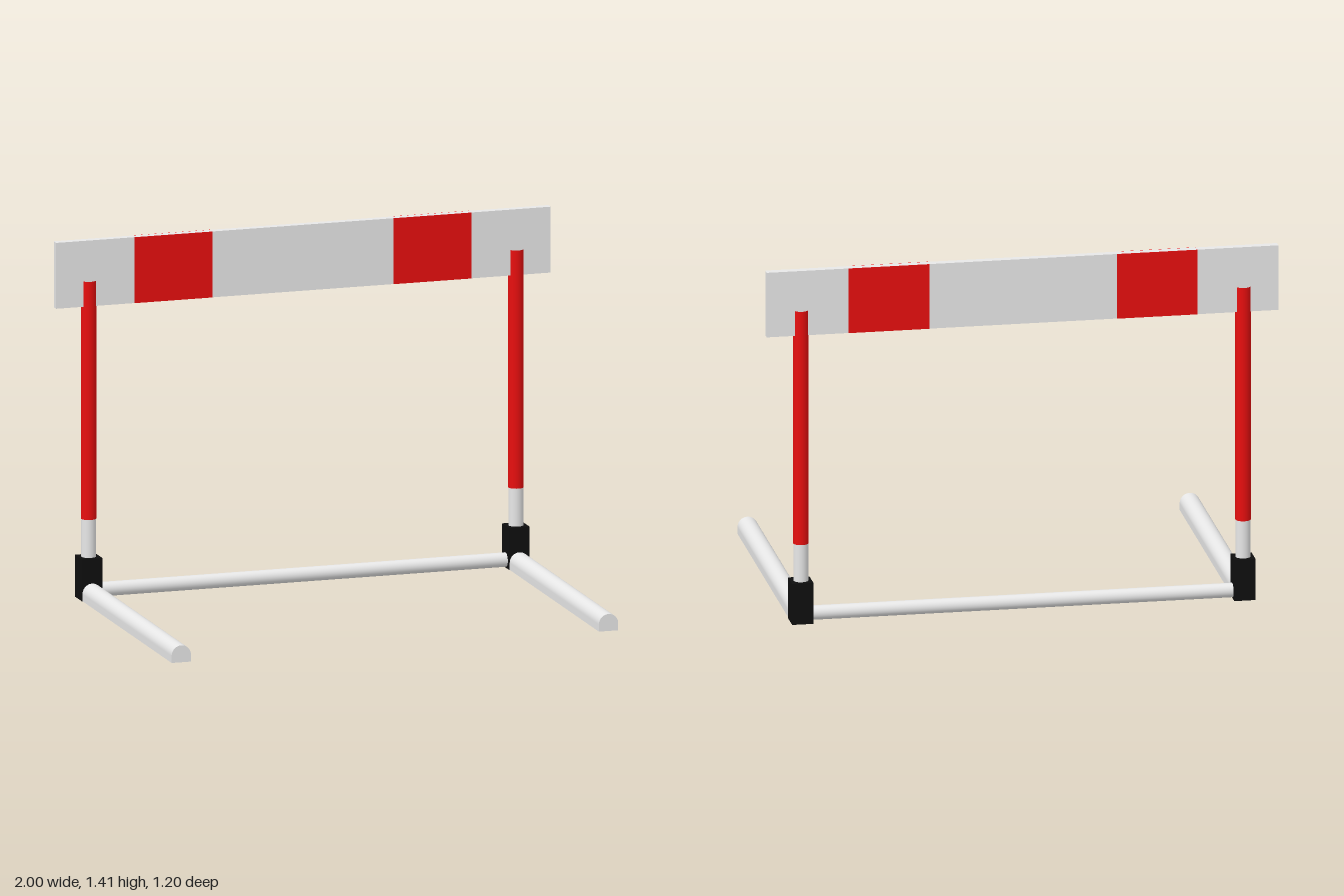
import * as THREE from 'three';

const white = new THREE.MeshStandardMaterial({ name: 'white', color: 0xebebeb });
const whiteSheet = new THREE.MeshStandardMaterial({ name: 'whiteSheet', color: 0xebebeb, side: THREE.DoubleSide });
const red = new THREE.MeshStandardMaterial({ name: 'red', color: 0xea0f0f, side: THREE.DoubleSide });
const black = new THREE.MeshStandardMaterial({ name: 'black', color: 0x0e0e0e });

const BACK = -0.554; // depth of the upright frame
const POST_X = 0.864;

function add(parent, name, geometry, material, x, y, z) {
  const mesh = new THREE.Mesh(geometry, material);
  mesh.name = name;
  mesh.position.set(x, y, z);
  parent.add(mesh);
  return mesh;
}

// Arched foot outline: short straight sides under a half circle
function archPoints() {
  const r = 0.039, spring = 0.028, points = [new THREE.Vector2(r, 0)];
  for (let i = 0; i <= 20; i++) {
    const a = (i / 20) * Math.PI;
    points.push(new THREE.Vector2(Math.cos(a) * r, spring + Math.sin(a) * r));
  }
  points.push(new THREE.Vector2(-r, 0));
  return points;
}

// Thin arched shell, open underneath
function archShell(z0, z1) {
  const pos = [], index = [];
  archPoints().forEach((p, i) => {
    pos.push(p.x, p.y, z0, p.x, p.y, z1);
    if (i > 0) {
      const a = 2 * (i - 1);
      index.push(a, a + 2, a + 1, a + 1, a + 2, a + 3);
    }
  });
  const g = new THREE.BufferGeometry();
  g.setAttribute('position', new THREE.Float32BufferAttribute(pos, 3));
  g.setIndex(index);
  g.computeVertexNormals();
  return g;
}

export function createModel() {
  const model = new THREE.Group();
  model.name = 'hurdle';

  // Top board with stripes on both faces
  const boardY = 1.285, boardH = 0.26, boardD = 0.03;
  add(model, 'board', new THREE.BoxGeometry(2, boardH, boardD), white, 0, boardY, BACK);
  for (const x of [-0.526, 0.522]) {
    for (const side of [-1, 1]) {
      add(model, 'stripe', new THREE.BoxGeometry(0.315, boardH, 0.002), red,
        x, boardY, BACK + side * (boardD / 2 + 0.001));
    }
  }

  // Bottom crossbar
  const bar = new THREE.CylinderGeometry(0.028, 0.028, 1.68, 24);
  bar.rotateZ(Math.PI / 2);
  add(model, 'crossbar', bar, white, 0, 0.032, BACK);

  for (const side of [-1, 1]) {
    const upright = new THREE.Group();
    upright.name = side > 0 ? 'leftSide' : 'rightSide';
    upright.position.x = side * POST_X;
    model.add(upright);

    // White lower tube with an open red tube above it
    add(upright, 'lowerPost', new THREE.CylinderGeometry(0.029, 0.029, 0.25, 24), white, 0, 0.225, BACK);
    add(upright, 'upperPost', new THREE.CylinderGeometry(0.03, 0.03, 0.94, 24, 1, true), red, 0, 0.785, BACK);

    // Corner joint
    add(upright, 'cornerJoint', new THREE.BoxGeometry(0.083, 0.165, 0.087), black, 0, 0.0825, BACK);

    // Foot running forwards, with its end closed
    add(upright, 'foot', archShell(-0.512, 0.598), whiteSheet, 0, 0, 0);
    add(upright, 'footEnd', new THREE.ShapeGeometry(new THREE.Shape(archPoints())), whiteSheet, 0, 0, 0.598);
  }
  return model;
}
